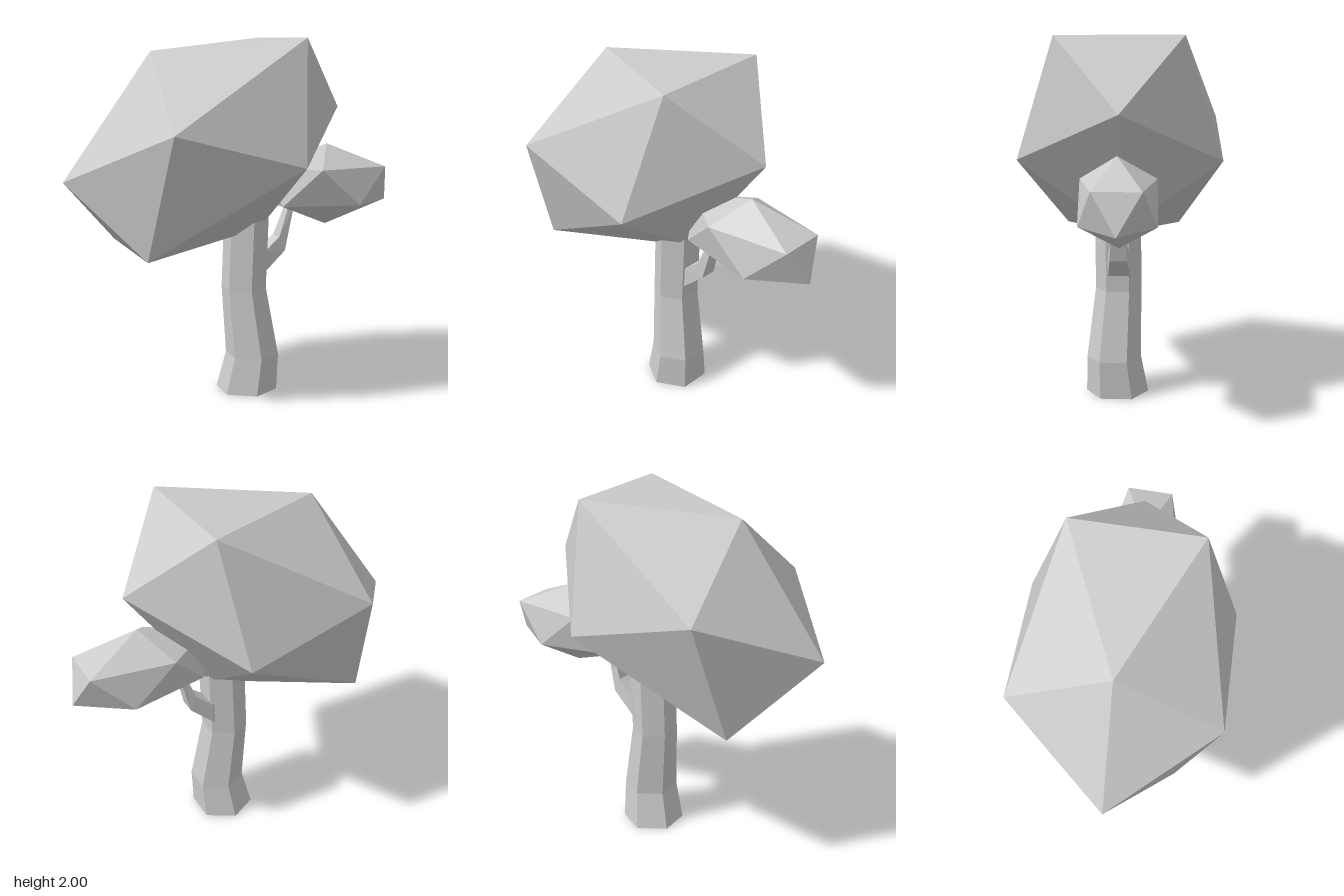
import * as THREE from 'three';
import { ConvexGeometry } from 'three/addons/geometries/ConvexGeometry.js';

const material = new THREE.MeshStandardMaterial({ color: 0xcccccc, flatShading: true });

function addMesh(group, name, geometry) {
  const mesh = new THREE.Mesh(geometry, material);
  mesh.name = name;
  group.add(mesh);
}

// Closed skin over a series of rings, each an array of [x, y, z] with equal length
function loft(rings) {
  const n = rings[0].length;
  const last = (rings.length - 1) * n;
  const index = [];
  for (let i = 0; i < rings.length - 1; i++) {
    for (let j = 0; j < n; j++) {
      const a = i * n + j, b = i * n + (j + 1) % n;
      index.push(a, b, b + n, a, b + n, a + n);
    }
  }
  for (let j = 1; j < n - 1; j++) {
    index.push(0, j + 1, j, last, last + j, last + j + 1);
  }
  const geometry = new THREE.BufferGeometry();
  geometry.setAttribute('position', new THREE.Float32BufferAttribute(rings.flat(2), 3));
  geometry.setIndex(index);
  const flat = geometry.toNonIndexed();
  flat.computeVertexNormals();
  return flat;
}

// Twenty-sided leaf clump: six corners, each repeated on the opposite side of the centre
function leafClump(centre, corners) {
  const points = corners.flatMap((p) => [
    new THREE.Vector3(...p),
    new THREE.Vector3(...p.map((v, k) => 2 * centre[k] - v)),
  ]);
  return new ConvexGeometry(points);
}

export function createModel() {
  const tree = new THREE.Group();
  tree.name = 'tree';

  // Hexagonal, slightly bent trunk: centre x, y, centre z, radius
  const trunk = [
    [0.057, 0, 0.005, 0.175],
    [0.085, 0.21, 0.022, 0.152],
    [0.042, 0.6, 0, 0.128],
    [0.062, 1.15, 0.002, 0.128],
  ].map(([x, y, z, r]) => Array.from({ length: 6 }, (_, k) => {
    const a = k * Math.PI / 3;
    return [x + r * Math.sin(a), y, z + r * Math.cos(a)];
  }));
  addMesh(tree, 'trunk', loft(trunk));

  // Four-sided side branch: outer x, y, inner x, y, half depth
  const branch = [
    [0.1, 0.635, 0.1, 0.765, 0.065],
    [0.15, 0.685, 0.15, 0.805, 0.063],
    [0.28, 0.8, 0.245, 0.88, 0.047],
    [0.335, 1.03, 0.3, 1.03, 0.032],
    [0.36, 1.12, 0.325, 1.12, 0.03],
  ].map(([ox, oy, ix, iy, h]) => {
    const z = -0.01;
    return [[ox, oy, z + h], [ox, oy, z - h], [ix, iy, z - h], [ix, iy, z + h]];
  });
  addMesh(tree, 'branch', loft(branch));

  // Large tilted crown
  addMesh(tree, 'mainCrown', leafClump([-0.175, 1.43, -0.005], [
    [-0.49, 1.93, 0],
    [0.275, 2, 0.33],
    [0.265, 2, -0.36],
    [0.63, 1.61, -0.03],
    [-0.53, 1.525, 0.56],
    [0.185, 1.335, 0.545],
  ]));

  // Small crown at the end of the branch
  addMesh(tree, 'sideCrown', leafClump([0.56, 1.165, -0.025], [
    [0.56, 1.4, -0.02],
    [0.885, 1.265, -0.16],
    [0.885, 1.265, 0.09],
    [0.95, 1.055, -0.035],
    [0.685, 1.06, 0.172],
    [0.675, 1.06, -0.23],
  ]));

  return tree;
}
